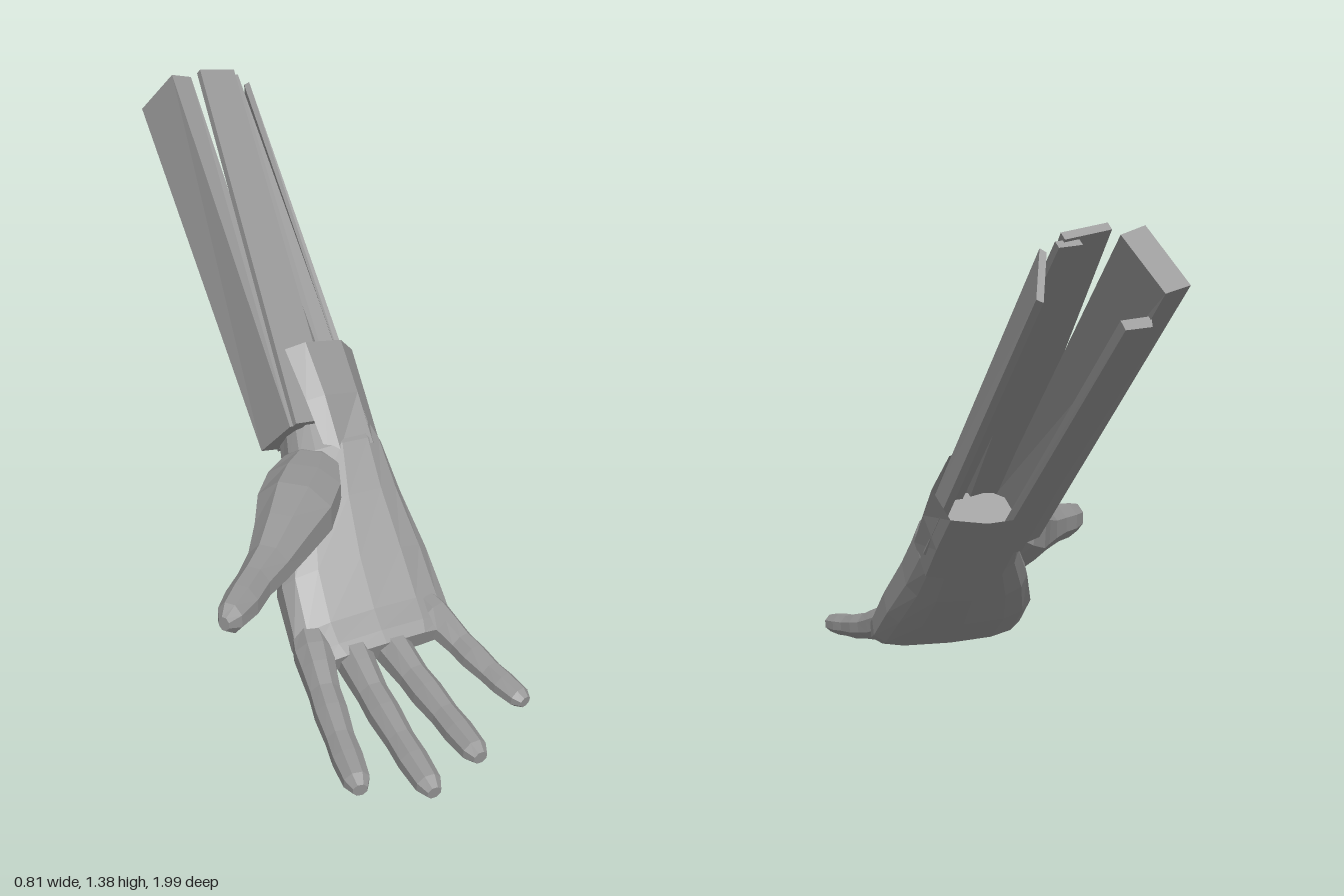
import * as THREE from 'three';

const V = (x, y, z) => new THREE.Vector3(x, y, z);
const material = new THREE.MeshStandardMaterial({ color: 0x959595, flatShading: true, side: THREE.DoubleSide });

// Forearm space: x across, n out of the palm, t along the arm towards the elbow.
const arm = (x, n, t) => V(x, 0.783 * n + 0.622 * t, 0.622 * n - 0.783 * t);

// Skin over a list of equal-length rings; closed rings get end caps.
function loft(name, rings, closed = true) {
  const k = rings[0].length, points = rings.flat(), index = [];
  for (let i = 0; i < rings.length - 1; i++) {
    for (let j = 0; j < (closed ? k : k - 1); j++) {
      const a = i * k + j, b = i * k + (j + 1) % k;
      index.push(a, b, b + k, a, b + k, a + k);
    }
  }
  if (closed) {
    const last = (rings.length - 1) * k;
    for (let j = 1; j < k - 1; j++) {
      index.push(0, j + 1, j, last, last + j, last + j + 1);
    }
    // Turn the faces outwards if the rings ran the other way round.
    let volume = 0;
    for (let i = 0; i < index.length; i += 3) {
      const [a, b, c] = [0, 1, 2].map((o) => points[index[i + o]]);
      volume += a.dot(b.clone().cross(c));
    }
    if (volume < 0) index.reverse();
  }
  const geometry = new THREE.BufferGeometry().setFromPoints(points);
  geometry.setIndex(index);
  geometry.computeVertexNormals();
  const mesh = new THREE.Mesh(geometry, material);
  mesh.name = name;
  return mesh;
}

// Tapered digit along [x, y, z, halfWidth, halfThickness] stations.
function digit(name, stations, sides = 8) {
  const centres = stations.map(([x, y, z]) => V(x, y, z));
  const rings = stations.map(([, , , w, h], i) => {
    const along = centres[Math.min(i + 1, centres.length - 1)].clone()
      .sub(centres[Math.max(i - 1, 0)]).normalize();
    const side = V(0, 1, 0).cross(along).normalize();
    const up = along.clone().cross(side);
    return Array.from({ length: sides }, (_, j) => {
      const a = (j + 0.5) / sides * Math.PI * 2;
      return centres[i].clone().addScaledVector(side, w * Math.cos(a)).addScaledVector(up, h * Math.sin(a));
    });
  });
  return loft(name, rings);
}

// Long plank between two four-cornered sections given as [x, n].
function board(name, t0, section0, t1, section1) {
  return loft(name, [section0.map(([x, n]) => arm(x, n, t0)), section1.map(([x, n]) => arm(x, n, t1))]);
}

export function createModel() {
  const model = new THREE.Group();
  model.name = 'openHandAndForearm';

  // Palm: [xMin, xMax, back y, back z, palm y, palm z] from wrist to knuckles.
  const palm = [
    [0.07, 0.31, 0.49, -0.12, 0.63, 0.01],
    [0.03, 0.335, 0.39, 0.00, 0.565, 0.12],
    [-0.045, 0.34, 0.29, 0.12, 0.46, 0.23],
    [-0.115, 0.355, 0.18, 0.27, 0.335, 0.36],
    [-0.13, 0.358, 0.09, 0.41, 0.225, 0.46],
    [-0.13, 0.348, 0.073, 0.475, 0.19, 0.515],
    [-0.11, 0.33, 0.105, 0.525, 0.165, 0.545],
  ];
  model.add(loft('palm', palm.map(([x0, x1, by, bz, py, pz]) =>
    Array.from({ length: 14 }, (_, j) => {
      const a = (j + 0.5) / 14 * Math.PI * 2;
      const soft = (v) => Math.sign(v) * Math.abs(v) ** 0.7;
      const u = 0.5 + 0.5 * soft(Math.cos(a)), v = 0.5 + 0.5 * soft(Math.sin(a));
      return V(x0 + (x1 - x0) * u, by + (py - by) * v, bz + (pz - bz) * v);
    }))));

  // Fingers: base, two joints and tip, with a shared taper.
  const fingers = {
    indexFinger: [[-0.07, 0.17, 0.42], [-0.11, 0.127, 0.58], [-0.148, 0.09, 0.76], [-0.183, 0.072, 0.945]],
    middleFinger: [[0.03, 0.155, 0.42], [0.018, 0.1, 0.60], [0.01, 0.062, 0.80], [0.005, 0.035, 1.0]],
    ringFinger: [[0.135, 0.15, 0.42], [0.15, 0.1, 0.59], [0.163, 0.07, 0.77], [0.17, 0.055, 0.955]],
    littleFinger: [[0.28, 0.18, 0.42], [0.318, 0.13, 0.56], [0.348, 0.1, 0.70], [0.38, 0.082, 0.84]],
  };
  const taper = [[0, 0.052, 0.05], [0.14, 0.058, 0.06], [0.26, 0.051, 0.057], [0.4, 0.045, 0.047],
    [0.52, 0.047, 0.048], [0.68, 0.041, 0.04], [0.8, 0.043, 0.04], [0.94, 0.037, 0.034], [0.995, 0.021, 0.02]];
  for (const [name, path] of Object.entries(fingers)) {
    const curve = new THREE.CatmullRomCurve3(path.map((p) => V(...p)));
    const slim = name === 'littleFinger' ? 0.88 : 1;
    model.add(digit(name, taper.map(([s, w, h]) => [...curve.getPoint(s).toArray(), w * slim, h * slim])));
  }

  // Thumb, swelling out of the ball of the palm.
  model.add(digit('thumb', [
    [0.13, 0.525, 0.05, 0.03, 0.02],
    [0.095, 0.505, 0.1, 0.085, 0.06],
    [0.04, 0.48, 0.165, 0.115, 0.092],
    [-0.03, 0.46, 0.245, 0.115, 0.113],
    [-0.11, 0.443, 0.33, 0.085, 0.096],
    [-0.19, 0.43, 0.41, 0.062, 0.072],
    [-0.26, 0.428, 0.47, 0.05, 0.06],
    [-0.32, 0.425, 0.525, 0.05, 0.058],
    [-0.375, 0.425, 0.572, 0.038, 0.048],
    [-0.4, 0.425, 0.59, 0.016, 0.022],
  ]));

  // Thin wrist cuff, open on the thumb side.
  const cuff = [
    [0.24, [[0.13, 0.505], [0.17, 0.515], [0.28, 0.505], [0.335, 0.43], [0.325, 0.32], [0.24, 0.3], [0.1, 0.302]]],
    [0.40, [[0.115, 0.535], [0.17, 0.55], [0.29, 0.512], [0.35, 0.43], [0.335, 0.32], [0.24, 0.298], [0.11, 0.3]]],
    [0.57, [[0.11, 0.535], [0.17, 0.557], [0.30, 0.515], [0.372, 0.416], [0.34, 0.32], [0.24, 0.302], [0.12, 0.31]]],
  ];
  model.add(loft('wristCuff', cuff.map(([t, pts]) => pts.map(([x, n]) => arm(x, n, t))), false));

  // Forearm planks around a hollow core.
  const forearm = new THREE.Group();
  forearm.name = 'forearm';
  forearm.add(
    board('thumbSideBoard', 0.34, [[0.0, 0.365], [0.045, 0.52], [0.10, 0.51], [0.06, 0.345]],
      1.54, [[0.022, 0.367], [0.085, 0.537], [0.155, 0.51], [0.092, 0.345]]),
    board('innerBoard', 0.34, [[0.06, 0.535], [0.195, 0.505], [0.19, 0.485], [0.055, 0.515]],
      1.54, [[0.177, 0.545], [0.30, 0.517], [0.295, 0.497], [0.172, 0.525]]),
    board('innerStrip', 0.36, [[0.222, 0.495], [0.28, 0.49], [0.275, 0.475], [0.217, 0.48]],
      1.53, [[0.255, 0.508], [0.315, 0.5], [0.31, 0.482], [0.25, 0.49]]),
    board('littleFingerSideBoard', 0.3, [[0.272, 0.495], [0.288, 0.505], [0.338, 0.36], [0.322, 0.35]],
      1.49, [[0.322, 0.5], [0.336, 0.512], [0.38, 0.372], [0.365, 0.362]]),
    board('backBoard', 0.34, [[0.06, 0.35], [0.16, 0.34], [0.155, 0.318], [0.065, 0.325]],
      1.44, [[0.085, 0.355], [0.165, 0.345], [0.16, 0.318], [0.09, 0.325]]),
  );
  model.add(forearm);
  return model;
}
